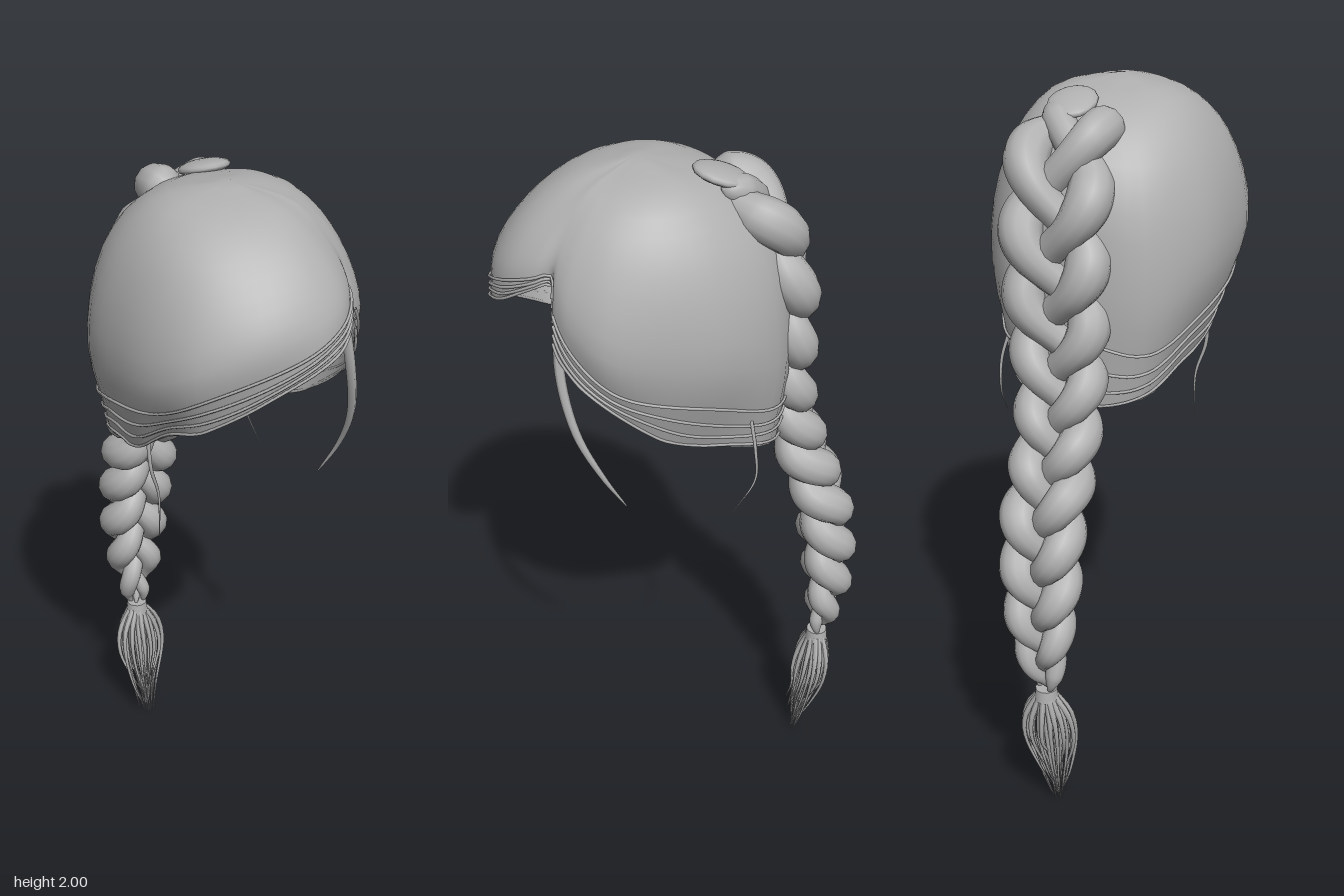
import * as THREE from 'three';

const hair = new THREE.MeshStandardMaterial({ color: 0xb0b0b0, side: THREE.DoubleSide });
hair.name = 'hairGrey';
const V = (x, y, z) => new THREE.Vector3(x, y, z);
const curveOf = (pts) => {
  const c = new THREE.CatmullRomCurve3(pts);
  c.arcLengthDivisions = 500;
  return c;
};

// seeded random numbers
let seed = 7;
const rand = () => (seed = (seed * 16807) % 2147483647) / 2147483647;

function surface(positions, indices) {
  const g = new THREE.BufferGeometry();
  g.setAttribute('position', new THREE.Float32BufferAttribute(positions, 3));
  g.setIndex(indices);
  g.computeVertexNormals();
  return g;
}

function add(parent, name, geometry) {
  const mesh = new THREE.Mesh(geometry, hair);
  mesh.name = name;
  parent.add(mesh);
  return mesh;
}

// Lock of hair: a tube whose radius follows radius(t)
function lock(points, radius, segments, sides) {
  const curve = curveOf(points);
  const { normals, binormals } = curve.computeFrenetFrames(segments, false);
  const pos = [], idx = [];
  for (let i = 0; i <= segments; i++) {
    const u = i / segments, p = curve.getPointAt(u), r = radius(curve.getUtoTmapping(u));
    for (let k = 0; k < sides; k++) {
      const a = (k / sides) * Math.PI * 2;
      const q = p.clone().addScaledVector(normals[i], r * Math.cos(a)).addScaledVector(binormals[i], r * Math.sin(a));
      pos.push(q.x, q.y, q.z);
      if (i === segments) continue;
      const p0 = i * sides + k, p1 = i * sides + ((k + 1) % sides);
      idx.push(p0, p1, p0 + sides, p1, p1 + sides, p0 + sides);
    }
  }
  return surface(pos, idx);
}

// Cap profiles: [azimuth in degrees, then radius, height from crown to rim]
const back = [
  [90, .18, 1.955, .285, 1.81, .325, 1.58, .26, 1.34],
  [120, .18, 1.955, .295, 1.81, .342, 1.55, .26, 1.285],
  [150, .19, 1.945, .325, 1.79, .375, 1.5, .34, 1.235],
];
const profiles = [
  [0, .18, 1.965, .3, 1.88, .38, 1.76, .395, 1.65],
  [14, .18, 1.965, .3, 1.875, .365, 1.78, .38, 1.69],
  [27, .18, 1.96, .285, 1.87, .33, 1.8, .34, 1.74],
  [34, .18, 1.96, .275, 1.868, .303, 1.81, .3, 1.755],
  [39, .18, 1.958, .278, 1.86, .32, 1.765, .335, 1.62],
  [47, .18, 1.956, .282, 1.85, .338, 1.7, .32, 1.53],
  [65, .18, 1.955, .285, 1.83, .345, 1.62, .29, 1.43],
  ...back,
  [180, .19, 1.945, .32, 1.81, .36, 1.55, .35, 1.22],
  ...back.map(([a, ...r]) => [360 - a, ...r]).reverse(),
  [295, .18, 1.955, .29, 1.84, .35, 1.6, .275, 1.42],
  [315, .18, 1.957, .3, 1.85, .38, 1.66, .33, 1.48],
  [338, .18, 1.96, .3, 1.865, .385, 1.72, .365, 1.57],
];
const rings = [0, 1, 2, 3].map((k) => new THREE.CatmullRomCurve3(profiles.map((p) => {
  const a = THREE.MathUtils.degToRad(p[0]), r = p[1 + 2 * k];
  return V(r * Math.sin(a), p[2 + 2 * k], .1 + r * Math.cos(a));
}), true));
const meridian = (u) => new THREE.CatmullRomCurve3([V(0, 2, .12), ...rings.map((r) => r.getPoint(u))]);

function capGeometry() {
  const cols = profiles.length * 4, rows = 16, pos = [0, 2, .12], idx = [];
  const id = (i, j) => (j === 0 ? 0 : 1 + (i % cols) * rows + j - 1);
  for (let i = 0; i < cols; i++) {
    const m = meridian(i / cols);
    for (let j = 1; j <= rows; j++) {
      pos.push(...m.getPoint(j / rows).toArray());
      if (j > 1) idx.push(id(i, j - 1), id(i, j), id(i + 1, j - 1));
      idx.push(id(i, j), id(i + 1, j), id(i + 1, j - 1));
    }
  }
  return surface(pos, idx);
}

export function createModel() {
  const model = new THREE.Group();
  model.name = 'braidedHair';
  add(model, 'hairCap', capGeometry());

  // Combed strands along the outside of the rim
  const rim = new THREE.Group();
  rim.name = 'rimStrands';
  model.add(rim);
  [.87, .92, .96, .995].forEach((t, n) => {
    const pts = [];
    for (let i = 0; i <= 56; i++) {
      const u = .235 + (i / 56) * .98;
      const p = meridian(u % 1).getPoint(t - .008 * Math.sin(i * .7 + n));
      pts.push(V(p.x * 1.01, p.y, .1 + (p.z - .1) * 1.01));
    }
    add(rim, 'rimStrand', lock(pts, () => .004, 130, 5));
  });

  // Three-strand braid from the crown down the back, flatter and longer-lobed over the cap
  const spine = curveOf([
    V(.045, 1.93, -.06), V(.045, 1.885, -.16), V(.045, 1.78, -.225), V(.04, 1.6, -.256), V(.03, 1.4, -.262),
    V(.02, 1.25, -.285), V(.02, 1.1, -.325), V(.03, .95, -.38), V(.03, .75, -.41), V(.03, .58, -.415), V(.025, .42, -.4),
  ]);
  const sizes = [1.05, 1.2, 1.22, 1.2, 1.12, 1, .98, .98, .92, .72, .3];
  const size = (t) => {
    const s = Math.min(t, .9999) * 10, i = Math.floor(s);
    return THREE.MathUtils.lerp(sizes[i], sizes[i + 1], s - i);
  };
  const braid = new THREE.Group();
  braid.name = 'braid';
  model.add(braid);
  const turns = 3.9, steps = 160;
  for (let s = 0; s < 3; s++) {
    const phase = (t) => ((t + .35 * Math.max(0, .5 - t) ** 2) * turns + s / 3) * Math.PI * 2;
    // 0 over the cap, 1 where the braid hangs free
    const free = (t) => THREE.MathUtils.smoothstep(t, .35, .6);
    const pts = [];
    for (let i = 0; i <= steps; i++) {
      const t = i / steps, k = size(spine.getUtoTmapping(t)), a = phase(t);
      const out = spine.getTangentAt(t).cross(V(1, 0, 0)).normalize();
      const p = spine.getPointAt(t).addScaledVector(out, (.016 + .018 * free(t)) * k * Math.sin(2 * a));
      p.x += (.074 - .008 * free(t)) * k * Math.sin(a);
      pts.push(p);
    }
    // rounded tips at both ends
    const radius = (t) => Math.min(1, Math.sqrt(30 * Math.min(t, 1 - t))) * size(spine.getUtoTmapping(t))
      * (.036 + .007 * free(t) + .013 * Math.sin(phase(t)) ** 2);
    add(braid, 'braidStrand', lock(pts, radius, 300, 12));
  }

  // Flat lock where the braid starts on the crown
  const start = add(model, 'crownLock', new THREE.SphereGeometry(1, 14, 10));
  start.scale.set(.065, .02, .075);
  start.position.set(.06, 1.96, -.075);
  start.rotation.x = -.3;

  // Tie and loose tassel
  const tie = add(model, 'hairTie', new THREE.CylinderGeometry(.03, .034, .035, 14));
  tie.position.set(.025, .41, -.4);
  const tassel = new THREE.Group();
  tassel.name = 'tassel';
  model.add(tassel);
  for (let i = 0; i < 44; i++) {
    const a = i * 2.4, f = Math.sqrt((i + 1) / 44), c = Math.cos(a) * f, d = Math.sin(a) * f;
    const end = .003 + .18 * rand() * f, w = .15 + .5 * rand();
    const pts = [
      V(.025 + .02 * c, .41, -.4 + .02 * d),
      V(.025 + .07 * c, .34, -.395 + .046 * d),
      V(.025 + .08 * c, .26, -.385 + .052 * d),
      V(.02 + .045 * c, .09 + end * .7, -.365 + .032 * d),
      V(.02 + .06 * c * w, end, -.345 + .045 * d * w),
    ];
    add(tassel, 'tasselStrand', lock(pts, (t) => .009 * (1 - t) + .0012, 14, 5));
  }

  // Loose wisps around the face and nape
  const wisps = [
    [.014, [V(.175, 1.75, .33), V(.21, 1.55, .35), V(.25, 1.38, .32), V(.265, 1.25, .26), V(.25, 1.14, .2)]],
    [.006, [V(-.25, 1.38, .12), V(-.245, 1.28, .125), V(-.22, 1.19, .12), V(-.22, 1.06, .12)]],
    [.005, [V(.22, 1.36, -.13), V(.245, 1.27, -.14), V(.25, 1.18, -.14), V(.26, 1.09, -.08)]],
  ];
  for (const [r, pts] of wisps) add(model, 'looseWisp', lock(pts, (t) => r * (1 - .85 * t * t), 24, 6));
  return model;
}
